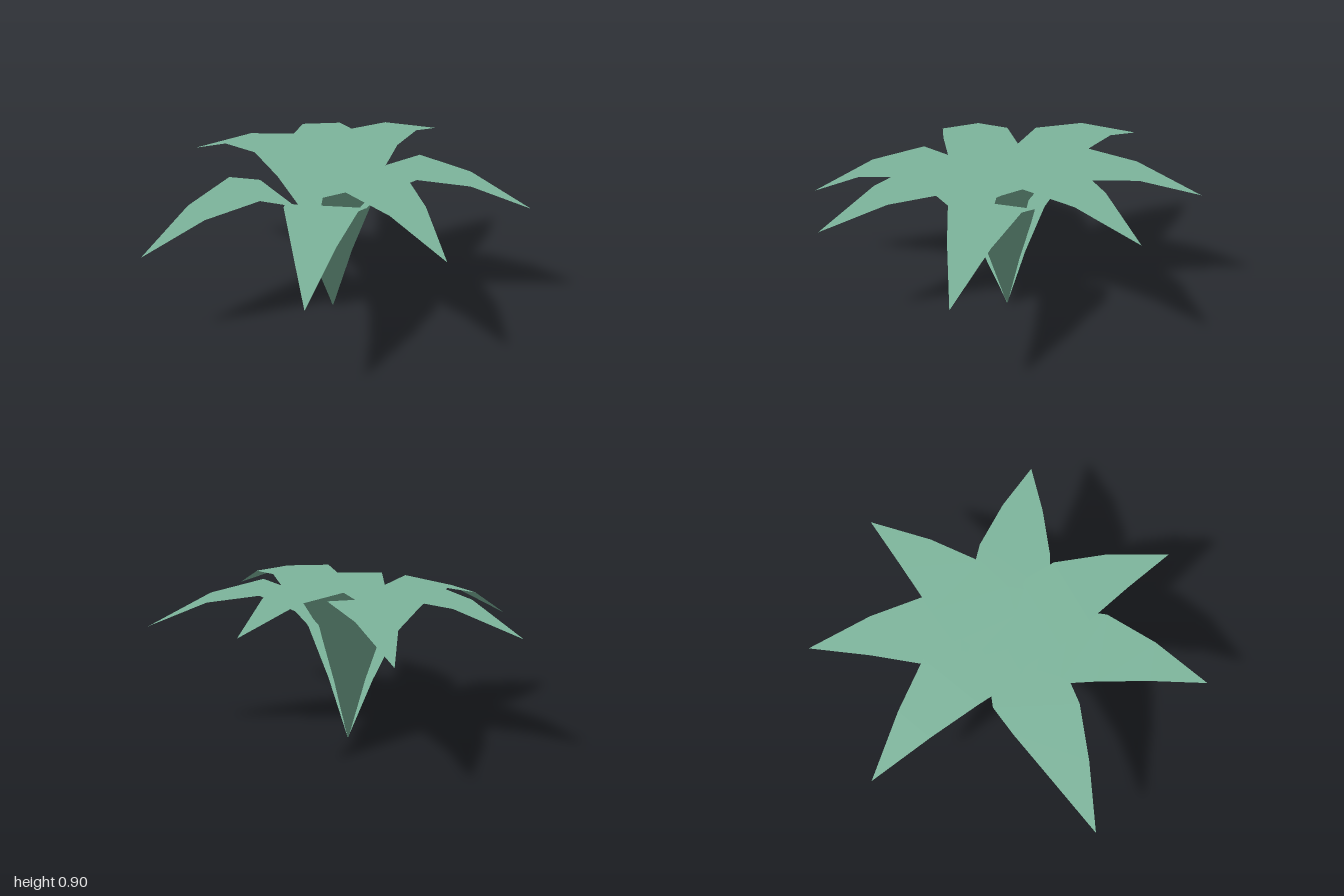
import * as THREE from 'three';

const leafGreen = new THREE.MeshStandardMaterial({ color: 0x7bb39a });
leafGreen.name = 'leafGreen';

// Shared leaf profile: reach, height, half width
const PROFILE = [
  [0, 0, 0.003], [0.105, 0.33, 0.085], [0.207, 0.6, 0.165], [0.335, 0.735, 0.21],
  [0.525, 0.795, 0.187], [0.797, 0.715, 0.108], [1.108, 0.53, 0],
];

// Leaf tips on the ground plan, and how far each leaf is raised (radians)
const BASE = [0.098, 0.003, -0.033];
const LEAVES = [
  [-1, 0.04, 0], [-0.48, 0.9, 0], [0.22, 0.975, 0.135], [0.995, 0.5, 0.09],
  [0.935, -0.44, 0.247], [0.42, -0.98, 0.16], [-0.37, -0.92, 0.16],
];

// One skin of a leaf: the upper one, or the lower one set just beneath it
function skinGeometry(raise, lower) {
  const positions = [], normals = [], index = [];
  const c = Math.cos(raise), s = Math.sin(raise);
  PROFILE.forEach(([reach, height, w], i) => {
    const r = reach + (lower ? 0.001 : 0), y = height - (lower ? 0.003 : 0);
    for (const side of [-1, 1]) {
      positions.push(r * c - y * s, r * s + y * c, side * w);
      normals.push(0, 1, 0); // foliage normals point up for even shading
    }
    if (i === 0) return;
    const a = 2 * i - 2, b = a + 1, d = a + 2, e = a + 3;
    index.push(...(lower ? [a, d, b] : [a, b, d]));
    // the last band closes to a single tip triangle
    if (w > 0) index.push(...(lower ? [b, d, e] : [b, e, d]));
  });
  const g = new THREE.BufferGeometry();
  g.setAttribute('position', new THREE.Float32BufferAttribute(positions, 3));
  g.setAttribute('normal', new THREE.Float32BufferAttribute(normals, 3));
  g.setIndex(index);
  return g;
}

export function createModel() {
  const plant = new THREE.Group();
  plant.name = 'plant';
  LEAVES.forEach(([x, z, raise], i) => {
    const leaf = new THREE.Group();
    leaf.name = `leaf${i + 1}`;
    for (const lower of [false, true]) {
      const skin = new THREE.Mesh(skinGeometry(raise, lower), leafGreen);
      skin.name = lower ? 'leafUnderside' : 'leafTop';
      leaf.add(skin);
    }
    leaf.position.set(...BASE);
    leaf.rotation.y = -Math.atan2(z - BASE[2], x - BASE[0]);
    plant.add(leaf);
  });
  return plant;
}
